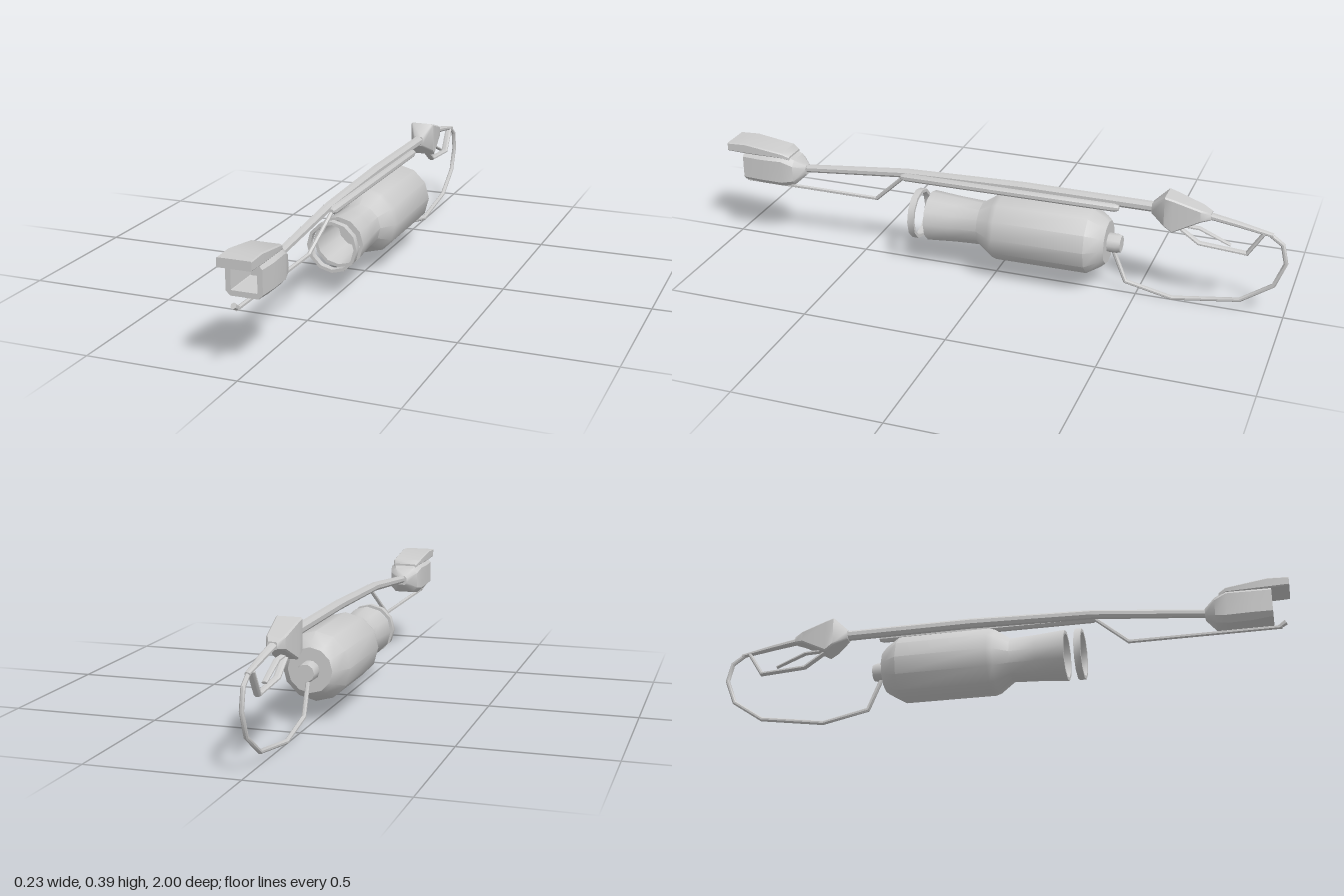
import * as THREE from 'three';
import { toCreasedNormals } from 'three/addons/utils/BufferGeometryUtils.js';

const material = new THREE.MeshStandardMaterial({ color: 0xcccccc });

// Skins a list of equal-length rings (counter-clockwise about the travel direction).
function loft(name, rings, caps = true) {
  const n = rings[0].length, pos = [];
  const tri = (...pts) => pts.forEach(p => pos.push(p.x, p.y, p.z));
  for (let i = 0; i < rings.length - 1; i++) {
    for (let j = 0; j < n; j++) {
      const k = (j + 1) % n, a = rings[i], b = rings[i + 1];
      tri(a[j], a[k], b[j]);
      tri(a[k], b[k], b[j]);
    }
  }
  if (caps) {
    const first = rings[0], last = rings[rings.length - 1];
    const mid = r => r.reduce((s, p) => s.add(p), new THREE.Vector3()).divideScalar(n);
    const c0 = mid(first), c1 = mid(last);
    for (let j = 0; j < n; j++) {
      const k = (j + 1) % n;
      tri(c0, first[k], first[j]);
      tri(c1, last[j], last[k]);
    }
  }
  const geo = new THREE.BufferGeometry();
  geo.setAttribute('position', new THREE.Float32BufferAttribute(pos, 3));
  const mesh = new THREE.Mesh(toCreasedNormals(geo, 0.7), material);
  mesh.name = name;
  return mesh;
}

// Round section across z.
function circle(z, r, y, sides) {
  return Array.from({ length: sides }, (_, j) => {
    const a = j / sides * Math.PI * 2;
    return new THREE.Vector3(Math.cos(a) * r, y + Math.sin(a) * r, z);
  });
}

// Rectangular section across z with chamfered corners.
function chamfered(z, hx, y0, y1, c) {
  return [[hx, y0 + c], [hx, y1 - c], [hx - c, y1], [c - hx, y1],
    [-hx, y1 - c], [-hx, y0 + c], [c - hx, y0], [hx - c, y0]]
    .map(([x, y]) => new THREE.Vector3(x, y, z));
}

// Mitred rod along points [x, y, z, radius]; wide stretches it sideways into a strap.
function rod(name, pts, wide = 1, sides = 8) {
  const P = pts.map(p => new THREE.Vector3(p[0], p[1], p[2]));
  const rings = P.map((p, i) => {
    const prev = P[Math.max(i - 1, 0)], next = P[Math.min(i + 1, P.length - 1)];
    const tin = p.clone().sub(prev).normalize(), tout = next.clone().sub(p).normalize();
    const t = tin.clone().add(tout).normalize();
    const b = t.clone().cross(new THREE.Vector3(1, 0, 0)).normalize();
    const side = b.clone().cross(t);
    const mitre = i > 0 && i < P.length - 1 ? 1 / Math.max(t.dot(tin), 0.6) : 1;
    const r = pts[i][3];
    return Array.from({ length: sides }, (_, j) => {
      const a = (j + 0.5) / sides * Math.PI * 2;
      return p.clone().addScaledVector(side, Math.cos(a) * r * wide)
        .addScaledVector(b, Math.sin(a) * r * mitre);
    });
  });
  return loft(name, rings);
}

export function createModel() {
  const model = new THREE.Group();
  const axisY = 0.181;

  // Fuel tank with an open, hollow neck
  const tankProfile = [[-0.4, 0.075], [-0.385, 0.088], [-0.34, 0.116], [-0.02, 0.117],
    [0, 0.111], [0.05, 0.076], [0.14, 0.08], [0.24, 0.088], [0.24, 0.077], [0.08, 0.066]];
  model.add(loft('tank', tankProfile.map(([z, r]) => circle(z, r, axisY, 12))));

  // Loose ring ahead of the neck
  const ringProfile = [[0.275, 0.088], [0.298, 0.088], [0.298, 0.077], [0.275, 0.077], [0.275, 0.088]];
  model.add(loft('neckRing', ringProfile.map(([z, r]) => circle(z, r, axisY, 12)), false));

  // Outlet at the back of the tank
  model.add(loft('tankOutlet', [[-0.445, 0.029], [-0.43, 0.033], [-0.39, 0.033]]
    .map(([z, r]) => circle(z, r, axisY, 10))));

  // Main barrel and the thinner pipe beside it
  model.add(rod('barrel', [[0, 0.287, 0.74, 0.014], [0, 0.327, 0.33, 0.016],
    [0, 0.338, -0.1, 0.018], [0, 0.336, -0.57, 0.018]]));
  model.add(rod('sidePipe', [[0.02, 0.32, 0.345, 0.008], [0.02, 0.32, 0.33, 0.014],
    [0.02, 0.321, -0.42, 0.014], [0.02, 0.321, -0.435, 0.009]]));

  // Pilot line running forward under the head
  model.add(rod('pilotLine', [[0.02, 0.32, 0.335, 0.007], [-0.012, 0.206, 0.455, 0.007],
    [-0.013, 0.207, 0.965, 0.007]], 1, 6));
  model.add(rod('pilotNozzle', [[-0.014, 0.208, 0.957, 0.008], [-0.016, 0.221, 0.978, 0.01]], 1, 6));

  // Head with a recessed mouth
  const head = new THREE.Group();
  head.name = 'head';
  head.add(loft('headShell', [
    chamfered(0.715, 0.02, 0.268, 0.302, 0.008),
    chamfered(0.75, 0.052, 0.236, 0.328, 0.018),
    chamfered(0.79, 0.061, 0.227, 0.347, 0.02),
    chamfered(0.87, 0.062, 0.228, 0.345, 0.02),
    chamfered(0.94, 0.059, 0.235, 0.34, 0.014),
    chamfered(0.94, 0.042, 0.252, 0.335, 0.002),
    chamfered(0.83, 0.032, 0.262, 0.325, 0.002)]));
  head.add(loft('headHood', [
    chamfered(0.765, 0.042, 0.325, 0.342, 0.004),
    chamfered(0.79, 0.052, 0.335, 0.355, 0.004),
    chamfered(0.93, 0.055, 0.337, 0.374, 0.004),
    chamfered(1, 0.055, 0.34, 0.37, 0.003)]));
  model.add(head);

  // Grip housing
  model.add(loft('gripHousing', [
    chamfered(-0.742, 0.016, 0.322, 0.346, 0.004),
    chamfered(-0.71, 0.031, 0.315, 0.358, 0.005),
    chamfered(-0.62, 0.04, 0.268, 0.386, 0.005),
    chamfered(-0.592, 0.043, 0.288, 0.393, 0.005),
    chamfered(-0.545, 0.018, 0.317, 0.352, 0.005)]));

  // Rear handle, trigger guard and trigger
  model.add(rod('rearHandle', [[0, 0.335, -0.72, 0.012], [0, 0.317, -0.83, 0.01], [0, 0.295, -0.945, 0.007]], 1.3));
  model.add(rod('triggerGuard', [[0, 0.297, -0.915, 0.007], [0, 0.217, -0.865, 0.007],
    [0, 0.228, -0.705, 0.007], [0, 0.29, -0.615, 0.007]], 1.8));
  model.add(rod('trigger', [[0, 0.285, -0.625, 0.006], [0, 0.282, -0.705, 0.006], [0, 0.238, -0.81, 0.005]], 1.8));

  // Hose looping from the handle back to the tank
  const hosePath = [[0.296, -0.935], [0.266, -0.978], [0.2, -0.993], [0.115, -0.96],
    [0.042, -0.853], [0.008, -0.625], [0.043, -0.463], [0.16, -0.415]];
  model.add(rod('hose', hosePath.map(([y, z]) => [0, y, z, 0.0075])));

  return model;
}
